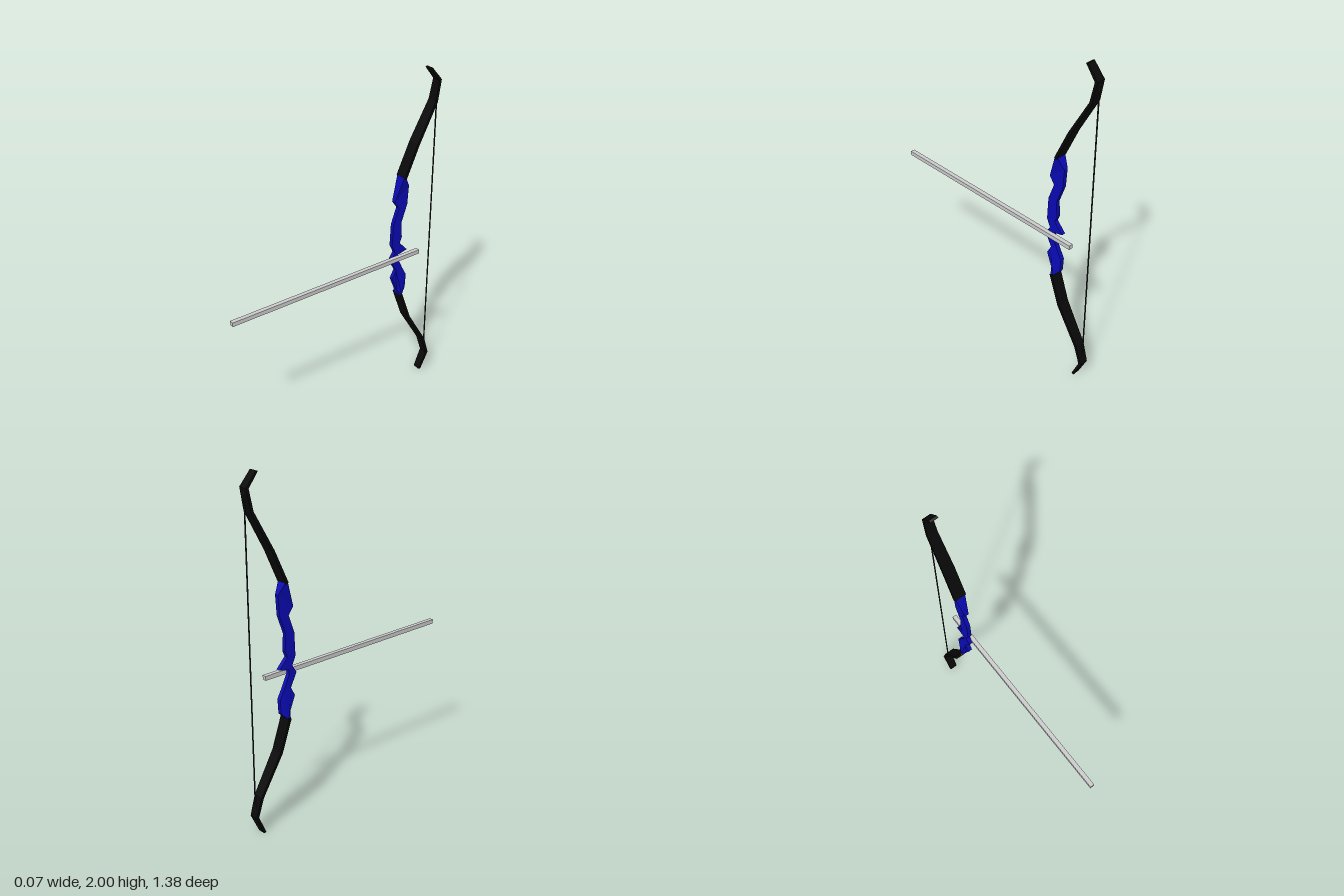
import * as THREE from 'three';

const paint = (color) => new THREE.MeshStandardMaterial({ color, flatShading: true });

// Extrudes a side outline of [z, y] points across x; halfWidth(y) sets the width at each height.
function sidePlate(name, outline, halfWidth, material) {
  const shape = new THREE.Shape(outline.map(([z, y]) => new THREE.Vector2(-z, y)));
  const geo = new THREE.ExtrudeGeometry(shape, { depth: 2, bevelEnabled: false });
  geo.translate(0, 0, -1).rotateY(Math.PI / 2);
  const p = geo.attributes.position;
  for (let i = 0; i < p.count; i++) p.setX(i, p.getX(i) * halfWidth(p.getY(i)));
  geo.computeVertexNormals();
  const mesh = new THREE.Mesh(geo, material);
  mesh.name = name;
  return mesh;
}

// Piecewise linear lookup through [y, value] pairs
function ramp(stops) {
  return (y) => {
    for (let i = 1; i < stops.length; i++) {
      const [y0, a] = stops[i - 1], [y1, b] = stops[i];
      if (y <= y1 || i === stops.length - 1) {
        return THREE.MathUtils.lerp(a, b, THREE.MathUtils.clamp((y - y0) / (y1 - y0), 0, 1));
      }
    }
  };
}

// Gives a [z, y] centre line an even thickness, with mitred bends
function thicken(line, half) {
  const pts = line.map(([z, y]) => new THREE.Vector2(z, y));
  const front = [], back = [];
  pts.forEach((p, i) => {
    const a = p.clone().sub(pts[Math.max(i - 1, 0)]).normalize();
    const b = pts[Math.min(i + 1, pts.length - 1)].clone().sub(p).normalize();
    const t = a.clone().add(b).normalize();
    const d = half / Math.max(t.dot(i ? a : b), 0.5);
    const y = (v) => THREE.MathUtils.clamp(v, 0, 2);
    front.push([p.x + t.y * d, y(p.y - t.x * d)]);
    back.unshift([p.x - t.y * d, y(p.y + t.x * d)]);
  });
  return front.concat(back);
}

export function createModel() {
  const bow = new THREE.Group();
  bow.name = 'bow';
  const blue = paint(0x0a0ab4), black = paint(0x080808), dark = paint(0x202020), grey = paint(0xcccccc);

  // Carved grip, front edge downwards then back edge upwards, flared where it meets the limbs
  const riser = [
    [-0.44, 1.4], [-0.418, 1.335], [-0.394, 1.255], [-0.425, 1.21], [-0.39, 1.11],
    [-0.385, 0.975], [-0.408, 0.925], [-0.38, 0.88], [-0.42, 0.8], [-0.394, 0.75],
    [-0.428, 0.665], [-0.44, 0.63],
    [-0.455, 0.63], [-0.49, 0.665], [-0.495, 0.75], [-0.468, 0.8], [-0.43, 0.88],
    [-0.43, 0.905], [-0.495, 0.92], [-0.44, 0.98], [-0.454, 1.015], [-0.447, 1.11],
    [-0.485, 1.22], [-0.492, 1.335], [-0.455, 1.4],
  ];
  bow.add(sidePlate('riser', riser,
    ramp([[0.63, 0.03], [0.665, 0.012], [1.335, 0.012], [1.4, 0.03]]), blue));

  // Recurved limbs
  const upper = [[-0.447, 1.395], [-0.53, 1.58], [-0.65, 1.8], [-0.673, 1.92], [-0.61, 2]];
  const lower = [[-0.447, 0.635], [-0.512, 0.45], [-0.645, 0.225], [-0.68, 0.112], [-0.63, 0]];
  bow.add(sidePlate('upperLimb', thicken(upper, 0.008),
    ramp([[1.4, 0.036], [1.58, 0.035], [1.8, 0.03], [2, 0.023]]), black));
  bow.add(sidePlate('lowerLimb', thicken(lower, 0.008),
    ramp([[0, 0.023], [0.22, 0.03], [0.45, 0.035], [0.63, 0.036]]), black));

  // String between the limb bends
  const string = new THREE.Mesh(new THREE.CylinderGeometry(0.004, 0.004, 1.79, 8), dark);
  string.name = 'bowString';
  string.position.set(0, 1.02, -0.674);
  bow.add(string);

  // Arrow resting on the left of the grip
  const arrow = new THREE.Mesh(new THREE.BoxGeometry(0.025, 0.025, 1.265), grey);
  arrow.name = 'arrowShaft';
  arrow.position.set(0.023, 0.889, 0.063);
  bow.add(arrow);

  return bow;
}
